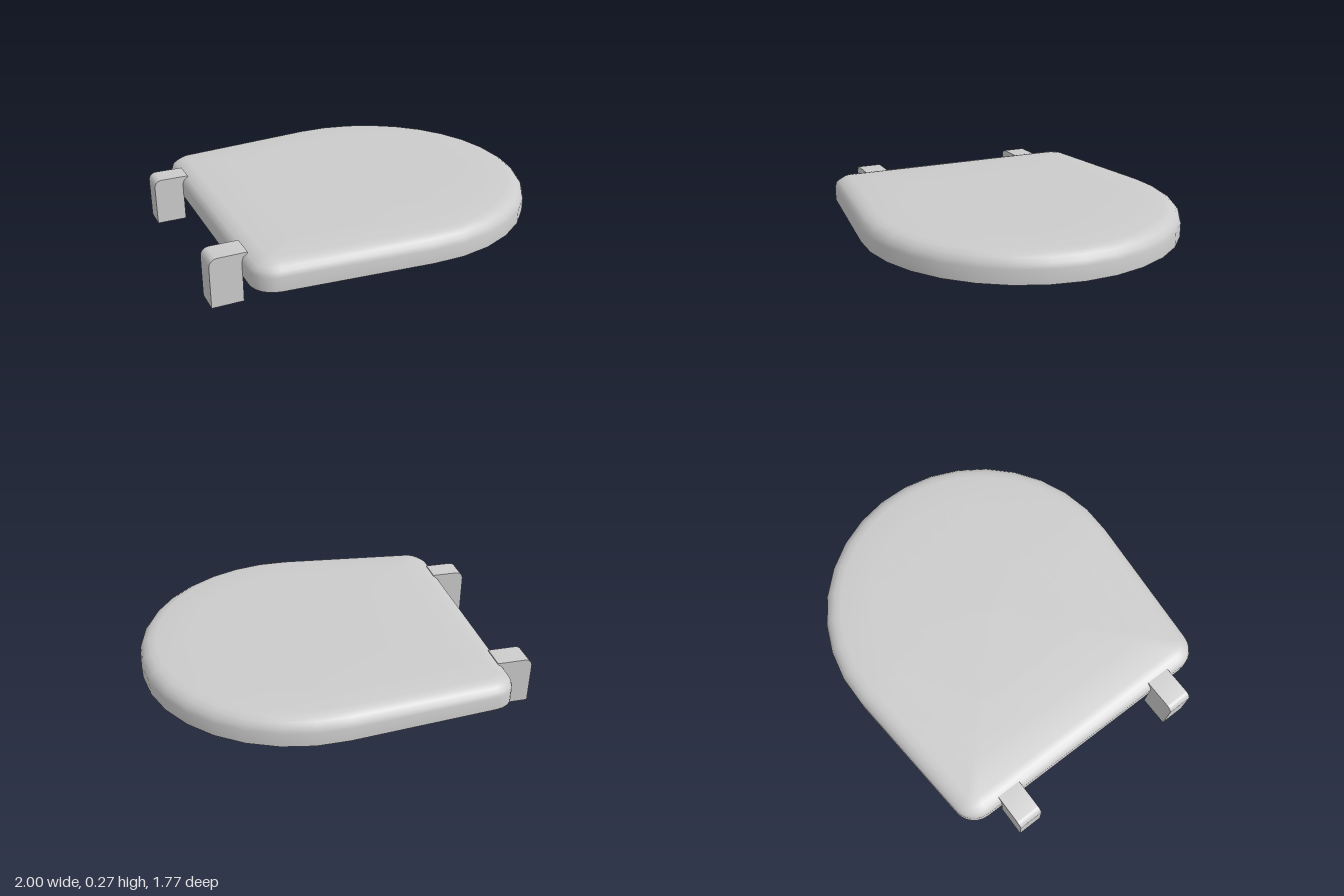
import * as THREE from 'three';
import { toCreasedNormals } from 'three/addons/utils/BufferGeometryUtils.js';

const MID = -0.018; // centre line of the lid, in its own turned frame
const TAPER = THREE.MathUtils.degToRad(95.5);

// Lid outline moved inwards by d: big front arc plus two small rear corner arcs
function outline(d) {
  const points = [];
  const arc = (cx, cz, r, from, to, n) => {
    for (let i = 0; i <= n; i++) {
      const a = from + ((to - from) * i) / n;
      points.push([cx + r * Math.cos(a), cz + r * Math.sin(a)]);
    }
  };
  arc(0.2, 0, 0.815 - d, -TAPER, TAPER, 17);
  arc(-0.6, 0.625, 0.12 - d, TAPER, Math.PI, 6);
  arc(-0.6, -0.625, 0.12 - d, Math.PI, 2 * Math.PI - TAPER, 6);
  return points;
}

// Hollow shell lofted through rings of [inset, height, scale]
function lidGeometry() {
  const rings = [
    [0.09, 0.245, 0], [0.09, 0.24, 0.6], [0.09, 0.237, 1], [0.05, 0.222, 1], // ceiling
    [0.03, 0.195, 1], [0.03, 0.13, 1],                                       // inner wall
    [0, 0.13, 1], [0, 0.2, 1],                                               // rim, outer wall
    [0.008, 0.224, 1], [0.025, 0.245, 1], [0.05, 0.26, 1], [0.085, 0.266, 1], // rounded edge
    [0.085, 0.269, 0.8], [0.085, 0.271, 0.5], [0.085, 0.272, 0],              // top
  ];
  const positions = [], index = [];
  let n = 0;
  for (const [inset, y, s] of rings) {
    const points = outline(inset);
    n = points.length;
    for (const [x, z] of points) {
      const px = 0.1 + (x - 0.1) * s;
      // the upper surface dips slightly towards the hinges
      const dip = y > 0.23 ? 0.008 * THREE.MathUtils.smoothstep(-px, 0.3, 0.7) : 0;
      positions.push(px, y - dip, z * s + MID);
    }
  }
  for (let r = 0; r < rings.length - 1; r++) {
    for (let j = 0; j < n; j++) {
      const k = (j + 1) % n;
      const a = r * n + j, b = r * n + k;
      if (rings[r][2] > 0) index.push(a, a + n, b);
      if (rings[r + 1][2] > 0) index.push(b, a + n, b + n);
    }
  }
  const geometry = new THREE.BufferGeometry();
  geometry.setAttribute('position', new THREE.Float32BufferAttribute(positions, 3));
  geometry.setIndex(index);
  return toCreasedNormals(geometry, 0.75);
}

// Hinge: upright block with a rounded outer top edge and a tab set into the lid
function hingeGeometry() {
  const width = 0.127;
  const shape = new THREE.Shape();
  shape.moveTo(-0.872, 0);
  shape.lineTo(-0.718, 0);
  shape.lineTo(-0.718, 0.2);
  shape.lineTo(-0.69, 0.2);
  shape.lineTo(-0.69, 0.246);
  shape.lineTo(-0.832, 0.246);
  shape.absarc(-0.832, 0.206, 0.04, Math.PI / 2, Math.PI, false);
  shape.closePath();
  const geometry = new THREE.ExtrudeGeometry(shape, { depth: width, bevelEnabled: false, curveSegments: 5 });
  geometry.translate(0, 0, -width / 2);
  return toCreasedNormals(geometry, 0.6);
}

export function createModel() {
  const model = new THREE.Group();
  model.name = 'hingedLid';
  const material = new THREE.MeshStandardMaterial({ color: 0xcccccc });
  const body = new THREE.Group();
  body.name = 'turnedLid';
  body.rotation.y = THREE.MathUtils.degToRad(17.5);
  model.add(body);

  const lid = new THREE.Mesh(lidGeometry(), material);
  lid.name = 'lid';
  body.add(lid);

  const hinge = hingeGeometry();
  for (const side of [-1, 1]) {
    const mesh = new THREE.Mesh(hinge, material);
    mesh.name = side < 0 ? 'rearHinge' : 'frontHinge';
    mesh.position.z = MID + side * 0.478;
    body.add(mesh);
  }
  return model;
}
